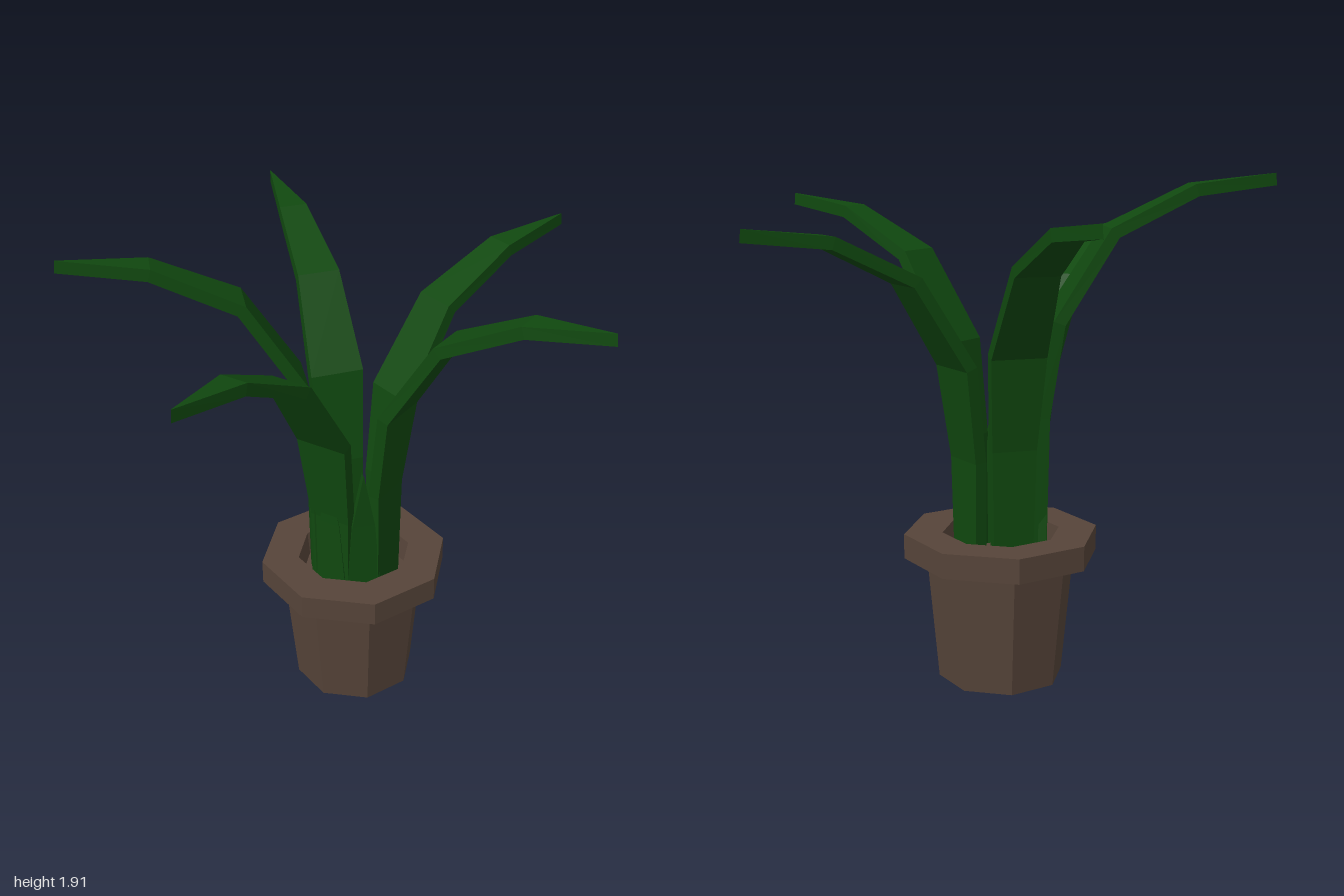
import * as THREE from 'three';

const clay = new THREE.MeshStandardMaterial({ color: 0x564439, flatShading: true });
clay.name = 'clayBrown';
const green = new THREE.MeshStandardMaterial({ color: 0x10480f, flatShading: true });
green.name = 'leafGreen';

// Sweeps a flat rectangular section along a side profile of [outward, height, half width].
function bladeGeometry(profile, thickness) {
  const pos = [], index = [];
  profile.forEach(([r, y, w], i) => {
    const a = profile[Math.max(i - 1, 0)], b = profile[Math.min(i + 1, profile.length - 1)];
    const len = Math.hypot(b[0] - a[0], b[1] - a[1]);
    const nr = -(b[1] - a[1]) / len * thickness, ny = (b[0] - a[0]) / len * thickness;
    pos.push(-w, y, r, w, y, r, w, y + ny, r + nr, -w, y + ny, r + nr);
    if (i === 0) return;
    const p = (i - 1) * 4, q = i * 4;
    for (let j = 0; j < 4; j++) {
      const k = (j + 1) % 4;
      index.push(p + j, p + k, q + k, p + j, q + k, q + j);
    }
  });
  index.push(0, 2, 1, 0, 3, 2); // base cap
  const g = new THREE.BufferGeometry();
  g.setAttribute('position', new THREE.Float32BufferAttribute(pos, 3));
  g.setIndex(index);
  g.computeVertexNormals();
  return g;
}

export function createModel() {
  const model = new THREE.Group();
  model.name = 'pottedPlant';
  const plant = new THREE.Group();
  plant.name = 'potAndLeaves';
  plant.position.set(-0.113, 0, -0.037);
  model.add(plant);

  const add = (geometry, material, name, angle = 0) => {
    const mesh = new THREE.Mesh(geometry, material);
    mesh.name = name;
    mesh.rotation.y = angle;
    plant.add(mesh);
  };

  // Eight-sided pot: tapered body with an overhanging, hollow rim
  const profile = [[0, 0], [0.24, 0], [0.285, 0.48], [0.372, 0.48], [0.372, 0.575], [0.225, 0.575], [0.215, 0.48], [0, 0.48]];
  add(new THREE.LatheGeometry(profile.map(([x, y]) => new THREE.Vector2(x, y)), 8), clay, 'pot');

  // Five arching leaves: tip direction (x, z) and tip height
  const leaves = [[1.02, 0.01, 1.79], [0, 1.03, 1.69], [-0.75, 0.70, 1.89], [-0.81, -0.64, 1.79], [0.37, -0.96, 1.74]];
  for (const [x, z, h] of leaves) {
    add(bladeGeometry([
      [0.163, 0.48, 0.075],
      [0.17, h - 0.87, 0.085],
      [0.22, h - 0.52, 0.105],
      [0.42, h - 0.205, 0.083],
      [0.72, h - 0.06, 0.055],
      [1.03, h - 0.025, 0.001],
    ], 0.046), green, 'leaf', Math.atan2(x, z));
  }

  // Short pointed sprouts filling the base
  for (const angle of [0, 0.8, -0.95]) {
    add(bladeGeometry([[0.168, 0.48, 0.07], [0.172, 0.8, 0.045], [0.178, 1.03, 0.001]], 0.03), green, 'sprout', angle);
  }
  return model;
}
